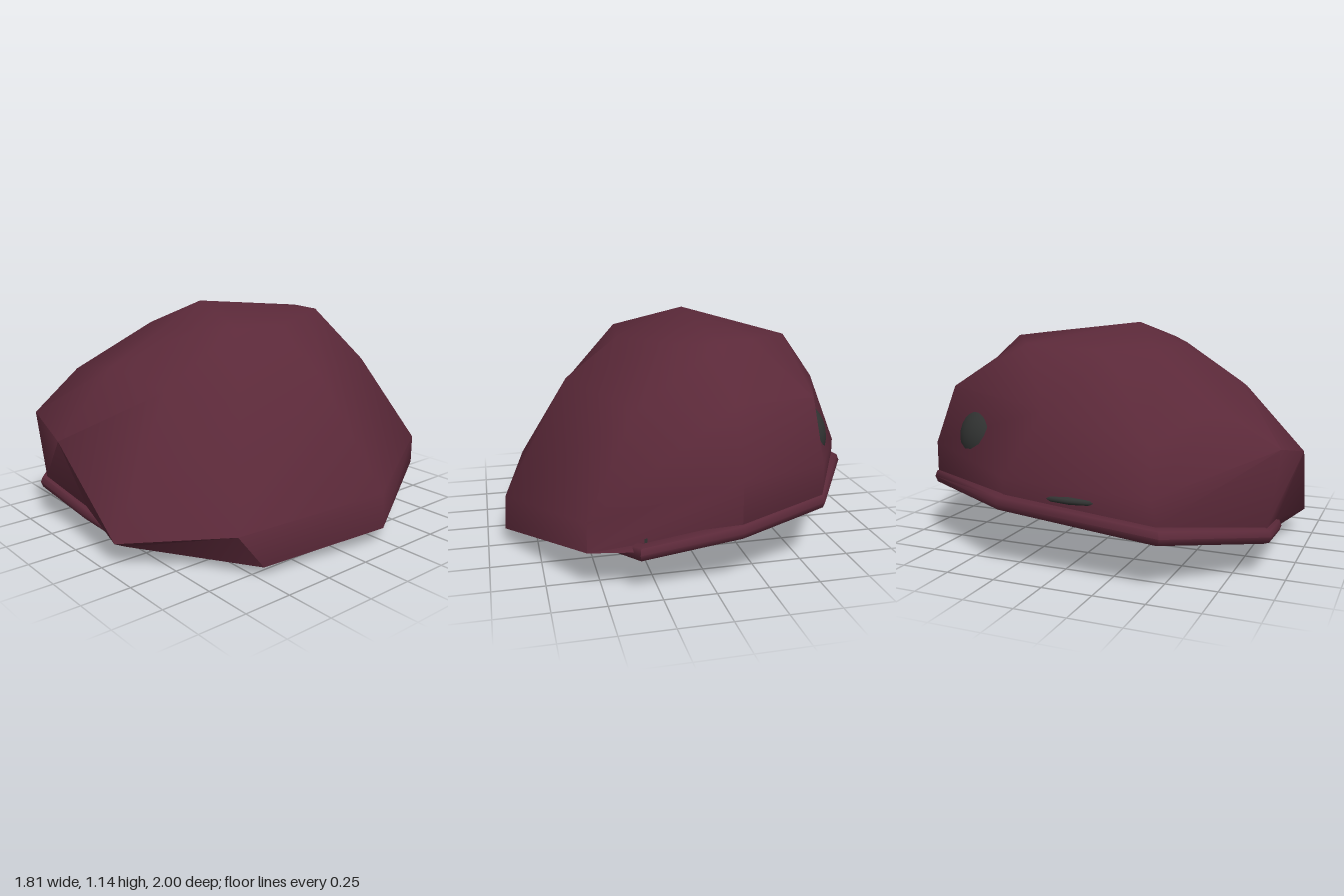
import * as THREE from 'three';
import { toCreasedNormals } from 'three/addons/utils/BufferGeometryUtils.js';

const felt = new THREE.MeshStandardMaterial({ color: 0x5b2939 });
felt.name = 'maroon felt';
const lining = new THREE.MeshStandardMaterial({ color: 0x313332, side: THREE.DoubleSide });
lining.name = 'dark lining';

// Joins closed rings of points, listed from the bottom up
function loft(rings, crease) {
  const pos = [];
  for (let i = 0; i < rings.length - 1; i++) {
    const lower = rings[i], upper = rings[i + 1], n = lower.length;
    for (let j = 0; j < n; j++) {
      const k = (j + 1) % n;
      const a = lower[j], b = lower[k], c = upper[k], d = upper[j];
      pos.push(...a, ...b, ...c);
      if (c.some((v, m) => v !== d[m])) pos.push(...a, ...c, ...d);
    }
  }
  const g = new THREE.BufferGeometry();
  g.setAttribute('position', new THREE.Float32BufferAttribute(pos, 3));
  return toCreasedNormals(g, crease);
}

function part(name, geometry, material) {
  const mesh = new THREE.Mesh(geometry, material);
  mesh.name = name;
  return mesh;
}

// Opening: ten corners of the piped edge, from the front round by the left
const opening = [
  [-0.1, 0.13, 0.86], [0.2, 0.06, 0.81], [0.59, 0.025, 0.43], [0.65, 0.085, -0.28], [0.33, 0.212, -0.94],
  [-0.12, 0.283, -0.96], [-0.55, 0.335, -0.82], [-0.865, 0.332, -0.27], [-0.87, 0.26, 0.5], [-0.48, 0.195, 0.89],
];
// Piping thickness at each corner, thinner where the fold covers it
const piping = [0.038, 0.025, 0.025, 0.025, 0.042, 0.042, 0.042, 0.042, 0.042, 0.04];

// Lower edge of the cap
const hem = [
  [-0.1, 0.16, 0.87], [0.21, 0.045, 0.84], [0.8, 0.045, 0.47], [0.91, 0.08, -0.23], [0.57, 0.2, -0.87],
  [-0.12, 0.31, -0.98], [-0.56, 0.34, -0.84], [-0.87, 0.35, -0.26], [-0.87, 0.31, 0.5], [-0.47, 0.23, 0.9],
];
// Widest fold, drooping at the front left
const fold = [
  [-0.12, 0.53, 1.0], [0.29, 0.12, 0.95], [0.77, 0.22, 0.6], [0.9, 0.26, -0.23], [0.57, 0.35, -0.87],
  [-0.12, 0.52, -0.98], [-0.56, 0.52, -0.84], [-0.865, 0.45, -0.27], [-0.865, 0.42, 0.47], [-0.45, 0.6, 0.95],
];
const shoulder = [
  [-0.12, 0.86, 0.68], [0.25, 0.79, 0.62], [0.49, 0.74, 0.36], [0.56, 0.83, -0.1], [0.32, 0.79, -0.69],
  [-0.12, 0.83, -0.85], [-0.54, 0.82, -0.73], [-0.8, 0.77, -0.08], [-0.78, 0.64, 0.44], [-0.52, 0.78, 0.66],
];
const upper = [
  [-0.11, 1.03, 0.36], [0.1, 1.03, 0.32], [0.26, 1.05, 0.2], [0.29, 1.03, -0.08], [0.1, 1.065, -0.53],
  [-0.12, 1.06, -0.58], [-0.33, 1.055, -0.44], [-0.54, 1.05, -0.3], [-0.47, 1.02, 0.1], [-0.33, 1.02, 0.3],
];
const peak = hem.map(() => [-0.11, 1.145, 0.13]);

// Piped edge: an eight-sided tube following the opening
function rimRings() {
  const rings = [];
  for (let k = 0; k <= 8; k++) {
    const t = (k / 8) * Math.PI * 2;
    rings.push(opening.map(([x, y, z], j) => {
      const out = Math.cos(t) * piping[j] / Math.hypot(x + 0.13, z);
      return [x + (x + 0.13) * out, y + Math.sin(t) * piping[j], z + z * out];
    }));
  }
  return rings;
}

// Lining: a short wall inside the opening, closed by a flat tilted panel
const liningRing = (lift) => opening.map(([x, y, z]) => [-0.1 + (x + 0.1) * 0.97, y + lift, z * 0.97]);
const liningCentre = opening.map(() => [-0.1, 0.24, 0]);

// Padding that shows slightly through the crown
function padding(name, radius, position, scale) {
  const mesh = part(name, new THREE.SphereGeometry(radius, 24, 16), lining);
  mesh.position.set(...position);
  mesh.scale.set(...scale);
  return mesh;
}

export function createModel() {
  const cap = new THREE.Group();
  cap.name = 'softCap';
  cap.add(part('crown', loft([opening, hem, fold, shoulder, upper, peak], 1.0), felt));
  cap.add(part('rim', loft(rimRings(), 1.0), felt));
  cap.add(part('lining', loft([liningRing(0), liningRing(0.05), liningCentre], 0.6), lining));
  cap.add(padding('backPadding', 0.2, [-0.504, 0.565, -0.496], [1, 1, 1]));
  cap.add(padding('sidePadding', 0.25, [-0.635, 0.375, 0.08], [1, 0.2, 1.4]));
  return cap;
}
